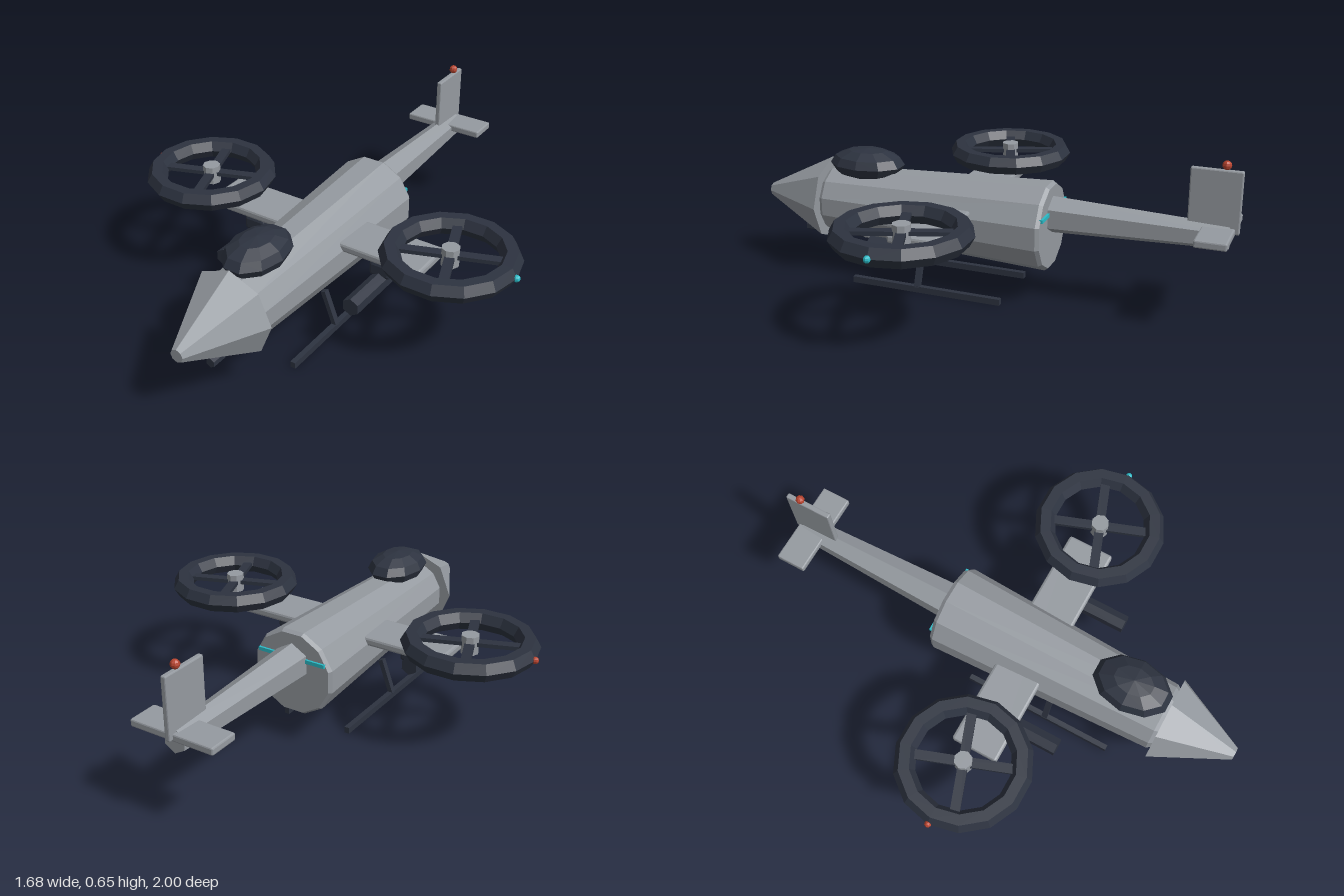
import * as THREE from 'three';
import { RoundedBoxGeometry } from 'three/addons/geometries/RoundedBoxGeometry.js';

const paint = (name, color) => {
  const m = new THREE.MeshStandardMaterial({ color, flatShading: true });
  m.name = name;
  return m;
};

export function createModel() {
  const hullGrey = paint('hull grey', 0x959aa0);
  const darkSlate = paint('dark slate', 0x2d3340);
  const cyanGlow = paint('cyan light', 0x2bbcc8);
  const redGlow = paint('red light', 0xb8442f);

  const model = new THREE.Group();
  model.name = 'tiltRotorAircraft';

  const add = (name, geometry, material, x = 0, y = 0, z = 0, parent = model) => {
    const mesh = new THREE.Mesh(geometry, material);
    mesh.name = name;
    mesh.position.set(x, y, z);
    parent.add(mesh);
    return mesh;
  };
  const box = (w, h, d) => new THREE.BoxGeometry(w, h, d);
  const softBox = (w, h, d, r) => new RoundedBoxGeometry(w, h, d, 1, r);
  // Tapered prism lying along z, with its front end toward +z
  const prism = (rFront, rBack, length, sides) =>
    new THREE.CylinderGeometry(rFront, rBack, length, sides).rotateX(Math.PI / 2);

  // Fuselage: twelve sides, flat on top, with chamfered ends
  const hullProfile = [[0, -0.275], [0.17, -0.275], [0.18, -0.26], [0.14, 0.685], [0.13, 0.7], [0, 0.7]]
    .map(([r, z]) => new THREE.Vector2(r, z));
  const hull = new THREE.LatheGeometry(hullProfile, 12, Math.PI / 12).rotateX(Math.PI / 2);
  add('fuselage', hull, hullGrey, 0, 0.307, 0);
  add('noseCone', prism(0.027, 0.178, 0.3, 8), hullGrey, 0, 0.307, 0.85);

  // Canopy
  const canopy = add('canopy', new THREE.SphereGeometry(1, 10, 6), darkSlate, 0, 0.475, 0.535);
  canopy.scale.set(0.113, 0.066, 0.162);

  // Tail
  add('tailBoom', prism(0.076, 0.049, 0.7, 6), hullGrey, 0, 0.357, -0.615);
  add('tailFin', softBox(0.022, 0.245, 0.195, 0.005), hullGrey, 0, 0.493, -0.902);
  add('stabilizer', softBox(0.355, 0.03, 0.123, 0.006), hullGrey, 0, 0.38, -0.922);
  add('tailBeacon', new THREE.SphereGeometry(0.018, 8, 6), redGlow, 0, 0.633, -0.935);
  add('rearLightBar', box(0.3, 0.015, 0.014), cyanGlow, 0, 0.375, -0.277);

  // Wing
  add('wing', softBox(0.98, 0.036, 0.195, 0.01), hullGrey, 0, 0.36, 0.113);

  // Chin gun
  add('gunBarrel', prism(0.02, 0.02, 0.29, 6), darkSlate, 0, 0.162, 0.69);
  add('gunMount', softBox(0.06, 0.034, 0.095, 0.008), hullGrey, 0, 0.167, 0.51);

  for (const [side, label, light] of [[1, 'left', cyanGlow], [-1, 'right', redGlow]]) {
    // Ducted rotor
    const rotor = new THREE.Group();
    rotor.name = label + 'Rotor';
    rotor.position.set(side * 0.56, 0.422, 0.11);
    model.add(rotor);
    const ring = new THREE.TorusGeometry(0.226, 0.042, 6, 14).rotateX(Math.PI / 2);
    if (side < 0) ring.rotateY(Math.PI);
    add('ductRing', ring, darkSlate, 0, 0, 0, rotor);
    add('rotorHub', new THREE.CylinderGeometry(0.036, 0.036, 0.075, 8), hullGrey, 0, 0, 0, rotor);
    for (let i = 0; i < 2; i++) {
      const blade = add('rotorBlade', box(0.4, 0.016, 0.038), darkSlate, 0, 0.004, 0, rotor);
      blade.rotation.y = 0.35 + i * Math.PI / 2;
    }
    add('tipLight', new THREE.SphereGeometry(0.014, 8, 6), light, side * 0.266, 0, 0, rotor);

    // Underwing pod
    add(label + 'PodMount', softBox(0.092, 0.062, 0.062, 0.012), darkSlate, side * 0.297, 0.291, 0.148);
    add(label + 'Pod', prism(0.037, 0.037, 0.262, 6), darkSlate, side * 0.297, 0.244, 0.247);

    // Landing skid
    add(label + 'SkidRunner', box(0.022, 0.026, 0.65), darkSlate, side * 0.146, 0.013, 0.215);
    const strut = add(label + 'SkidStrut', box(0.02, 0.155, 0.024), darkSlate, side * 0.122, 0.091, 0.25);
    strut.rotation.z = side * 0.35;
  }

  return model;
}
